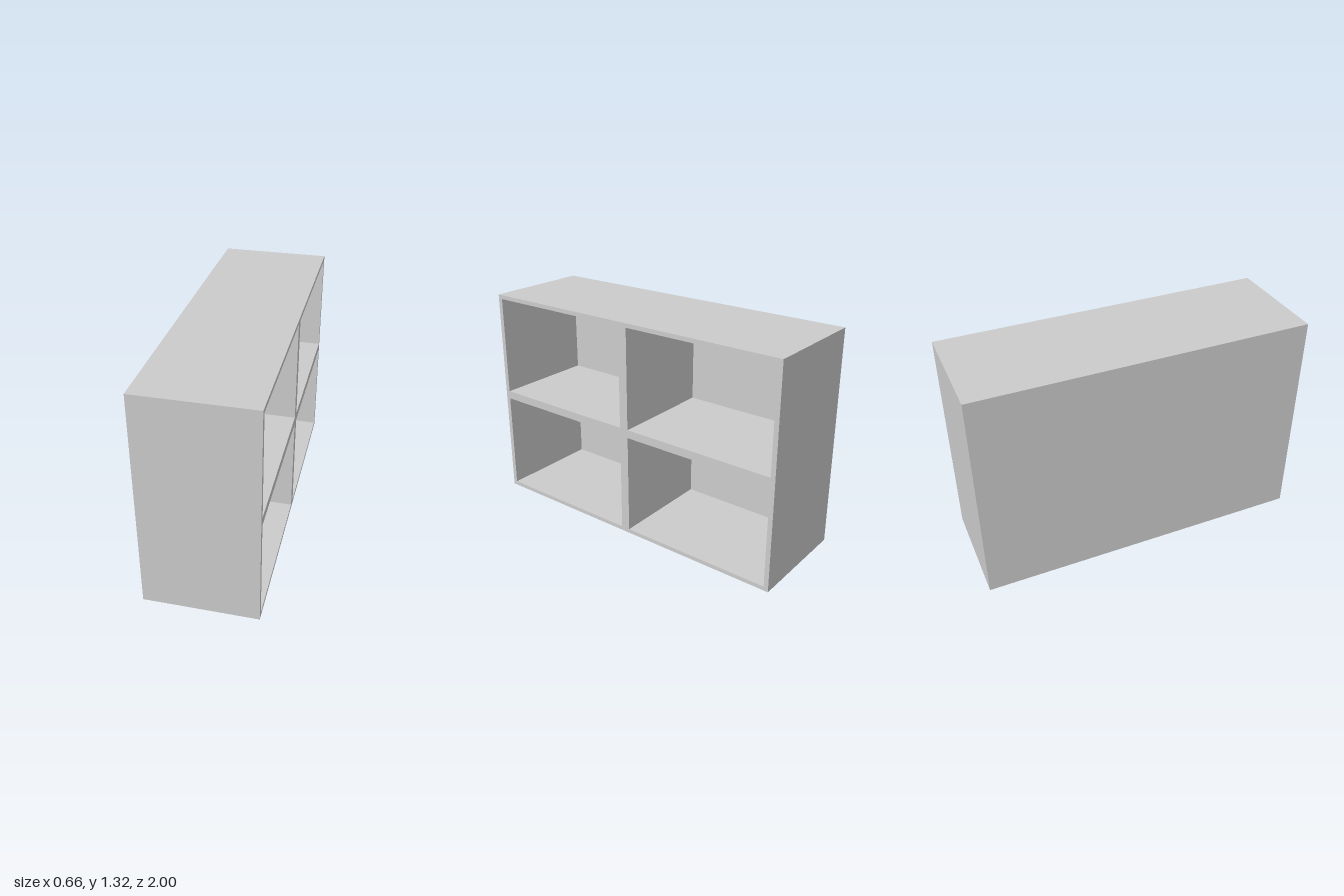
import * as THREE from 'three';

const DEPTH = 0.66;      // along x, openings face +x
const LENGTH = 2;        // along z
const TIER = 0.66;       // height of one stacked tier
const SIDE = 0.028;      // side board, half the central divider
const SHELF = 0.025;     // top and bottom boards of a tier
const PANEL = 0.02;      // back panel

const material = new THREE.MeshStandardMaterial({ color: 0xcccccc });

function rectangle(target, u0, v0, u1, v1) {
  target.moveTo(u0, v0);
  target.lineTo(u1, v0);
  target.lineTo(u1, v1);
  target.lineTo(u0, v1);
  target.closePath();
  return target;
}

// One tier: a frame with two open compartments, closed by a back panel
function createTier(name) {
  const tier = new THREE.Group();
  tier.name = name;

  const half = LENGTH / 2;
  const outline = rectangle(new THREE.Shape(), -half, 0, half, TIER);
  for (const [u0, u1] of [[-half + SIDE, -SIDE], [SIDE, half - SIDE]]) {
    outline.holes.push(rectangle(new THREE.Path(), u0, SHELF, u1, TIER - SHELF));
  }
  const frameGeometry = new THREE.ExtrudeGeometry(outline, { depth: DEPTH - PANEL, bevelEnabled: false });
  frameGeometry.rotateY(Math.PI / 2);
  const frame = new THREE.Mesh(frameGeometry, material);
  frame.name = 'frame';
  frame.position.x = -DEPTH / 2 + PANEL;

  const back = new THREE.Mesh(new THREE.BoxGeometry(PANEL, TIER, LENGTH), material);
  back.name = 'backPanel';
  back.position.set(-DEPTH / 2 + PANEL / 2, TIER / 2, 0);

  tier.add(frame, back);
  return tier;
}

export function createModel() {
  const shelf = new THREE.Group();
  shelf.name = 'cubbyShelf';
  ['lowerTier', 'upperTier'].forEach((name, i) => {
    const tier = createTier(name);
    tier.position.y = i * TIER;
    shelf.add(tier);
  });
  return shelf;
}
